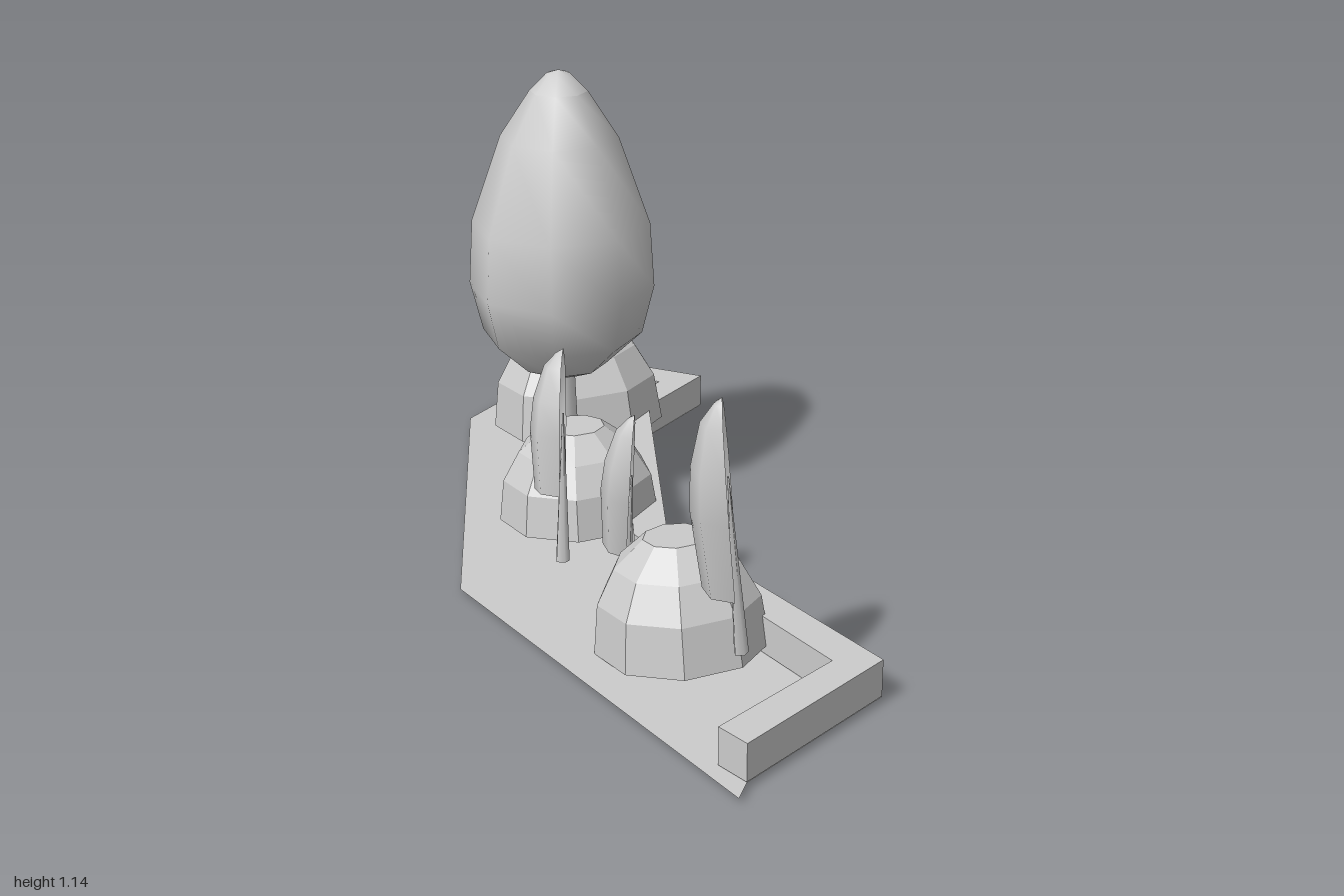
import * as THREE from 'three';

const smooth = new THREE.MeshStandardMaterial({ color: 0xcccccc, side: THREE.DoubleSide });
const flat = new THREE.MeshStandardMaterial({ color: 0xcccccc, side: THREE.DoubleSide, flatShading: true });

const points = (list) => list.map(([a, b]) => new THREE.Vector2(a, b));

function addMesh(parent, name, geometry, material) {
  const mesh = new THREE.Mesh(geometry, material);
  mesh.name = name;
  parent.add(mesh);
  return mesh;
}

// Rounded bush: nine-sided dome, slightly tilted; profile is in units of its radius
function addBush(parent, name, [x, y, z], radius, height, tilt) {
  const profile = points([[0, 0], [1, 0], [0.93, 0.45], [0.72, 0.76], [0.37, 1], [0, 1]]);
  const bush = addMesh(parent, name, new THREE.LatheGeometry(profile, 9, Math.PI / 2), flat);
  bush.scale.set(radius, height, radius);
  bush.position.set(x, y, z);
  bush.rotation.z = tilt;
}

// Slender plant: pointed stem and a half-open leaf shell along a leaning axis
function addPlant(parent, name, base, tip, leafStart, radius) {
  const from = new THREE.Vector3(...base);
  const axis = new THREE.Vector3(...tip).sub(from);
  const length = axis.length();
  const plant = new THREE.Group();
  plant.name = name;
  plant.position.copy(from);
  plant.quaternion.setFromUnitVectors(new THREE.Vector3(0, 1, 0), axis.normalize());

  const stemLength = length * 0.7;
  const stem = new THREE.CylinderGeometry(0.002, 0.017, stemLength, 5);
  addMesh(plant, 'stem', stem.translate(0, stemLength / 2, 0), smooth);

  const leaf = [[0.85, 0], [1, 0.42], [0.9, 0.65], [0.58, 0.88], [0.22, 0.97], [0, 1]]
    .map(([r, t]) => [r * radius, length * (leafStart + (1 - leafStart) * t)]);
  addMesh(plant, 'leafShell', new THREE.LatheGeometry(points(leaf), 4, -Math.PI * 0.75, Math.PI), smooth);
  parent.add(plant);
}

export function createModel() {
  const model = new THREE.Group();
  model.name = 'gardenBed';

  // Thin bed floor
  const floor = new THREE.ShapeGeometry(new THREE.Shape(points([
    [-1, -0.44], [-0.54, -0.66], [-0.47, -0.4], [0.14, 0.075], [0.92, 0.15],
    [0.97, 0.6], [1, 0.65], [-0.08, 0.535], [-0.9, -0.105],
  ])));
  addMesh(model, 'bedFloor', floor.rotateX(Math.PI / 2).translate(0, 0.016, 0), flat);

  // Low wall along the back and both ends
  const wall = new THREE.ExtrudeGeometry(new THREE.Shape(points([
    [-0.965, -0.465], [-0.54, -0.66], [-0.47, -0.4], [0.14, 0.075], [0.92, 0.15], [0.97, 0.6],
    [0.885, 0.6], [0.85, 0.235], [0.11, 0.155], [-0.53, -0.35], [-0.585, -0.54], [-0.94, -0.385],
  ])), { depth: 0.089, bevelEnabled: false });
  addMesh(model, 'bedWall', wall.rotateX(Math.PI / 2).translate(0, 0.107, 0), flat);

  addBush(model, 'largeBush', [-0.637, 0.055, -0.287], 0.235, 0.277, 0.07);
  addBush(model, 'middleBush', [-0.145, 0.067, 0.115], 0.2, 0.228, 0.06);
  addBush(model, 'endBush', [0.465, 0.024, 0.32], 0.2, 0.257, 0.09);

  // Tree: crown with a quarter open at the back, closed at its top and bottom caps
  const tree = new THREE.Group();
  tree.name = 'tree';
  tree.position.set(-0.345, 0, 0);
  model.add(tree);
  const gapStart = Math.PI * 1.25;
  const openTurn = Math.PI * 1.5;
  const crown = [[0, 0.35], [0.055, 0.355], [0.112, 0.38], [0.203, 0.465], [0.234, 0.59],
    [0.224, 0.755], [0.147, 0.975], [0.072, 1.09], [0.03, 1.133], [0, 1.142]];
  addMesh(tree, 'crown', new THREE.LatheGeometry(points(crown.slice(2, 8)), 6, gapStart, openTurn), smooth);
  addMesh(tree, 'crownBase', new THREE.LatheGeometry(points(crown.slice(0, 3)), 8), smooth);
  addMesh(tree, 'crownTop', new THREE.LatheGeometry(points(crown.slice(7)), 8), smooth);
  const trunk = points([[0.068, 0.012], [0.047, 0.07], [0.036, 0.2], [0.029, 0.38]]);
  addMesh(tree, 'trunk', new THREE.LatheGeometry(trunk, 6, gapStart, openTurn), smooth);

  addPlant(model, 'leaningPlant', [0.14, 0.13, 0.4], [0.087, 0.628, 0.345], 0.34, 0.076);
  addPlant(model, 'shortPlant', [0.235, 0.003, 0.29], [0.277, 0.51, 0.295], 0.34, 0.07);
  addPlant(model, 'tallPlant', [0.725, 0.13, 0.385], [0.712, 0.727, 0.437], 0.27, 0.085);

  return model;
}
